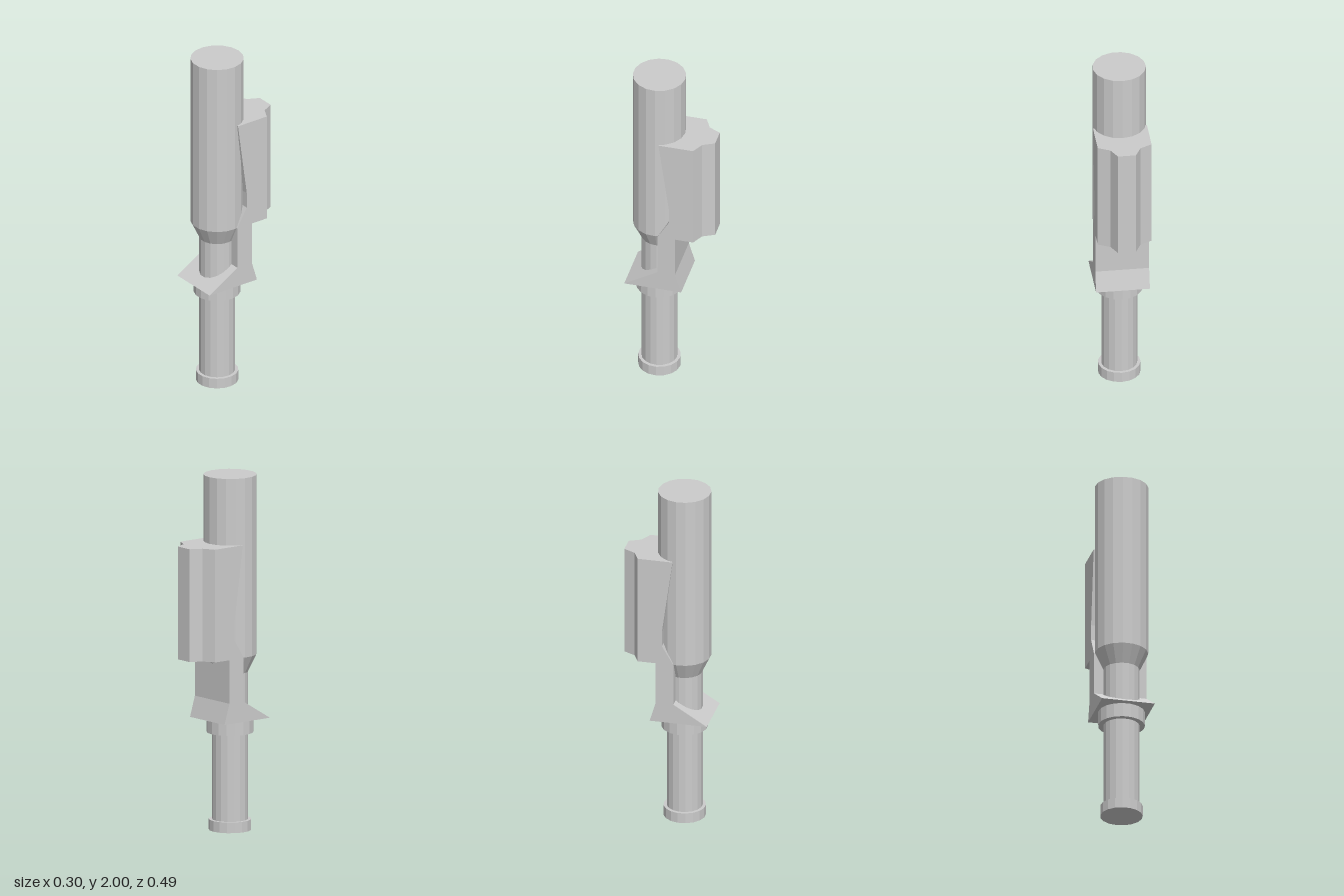
import * as THREE from 'three';

const SIDES = 17;
const AXIS_Z = 0.083;
const WIDTH = 0.3;

export function createModel() {
  const group = new THREE.Group();
  const material = new THREE.MeshStandardMaterial({ color: 0xcccccc, flatShading: true });

  const add = (name, geometry) => {
    const mesh = new THREE.Mesh(geometry, material);
    mesh.name = name;
    group.add(mesh);
  };

  // Round parts share one vertical axis and start with a corner at the back
  const round = (name, y0, y1, rBottom, rTop = rBottom) => {
    const g = new THREE.CylinderGeometry(rTop, rBottom, y1 - y0, SIDES, 1, false, Math.PI);
    g.translate(0, (y0 + y1) / 2, AXIS_Z);
    add(name, g);
  };

  const extrude = (points, depth) => new THREE.ExtrudeGeometry(
    new THREE.Shape(points.map(([x, y]) => new THREE.Vector2(x, y))),
    { depth, bevelEnabled: false });

  round('endCap', 0, 0.06, 0.118);
  round('shaft', 0.06, 0.89, 0.1);
  round('collar', 0.55, 0.63, 0.13);
  round('barrelTaper', 0.89, 0.99, 0.1, 0.148);
  round('barrel', 0.99, 2, 0.148);

  // Bracket: side profile as (z, y), extruded across the width
  const bracket = extrude([
    [0.245, 0.63], [0.055, 0.745], [0.055, 0.99], [-0.01, 1.1], [-0.01, 1.19],
    [0.05, 1.625], [-0.148, 1.625], [-0.148, 0.99], [-0.045, 0.99],
    [-0.045, 0.745], [-0.08, 0.63],
  ], WIDTH);
  bracket.rotateY(-Math.PI / 2);
  bracket.translate(WIDTH / 2, 0, 0);
  add('bracket', bracket);

  // Stepped rear rib: plan outline as (x, -z), extruded upward
  const rib = extrude([
    [-0.15, 0.148], [0.15, 0.148], [0.083, 0.182], [0.05, 0.248],
    [-0.05, 0.248], [-0.083, 0.182],
  ], 1.625 - 0.99);
  rib.rotateX(-Math.PI / 2);
  rib.translate(0, 0.99, 0);
  add('rearRib', rib);

  return group;
}
